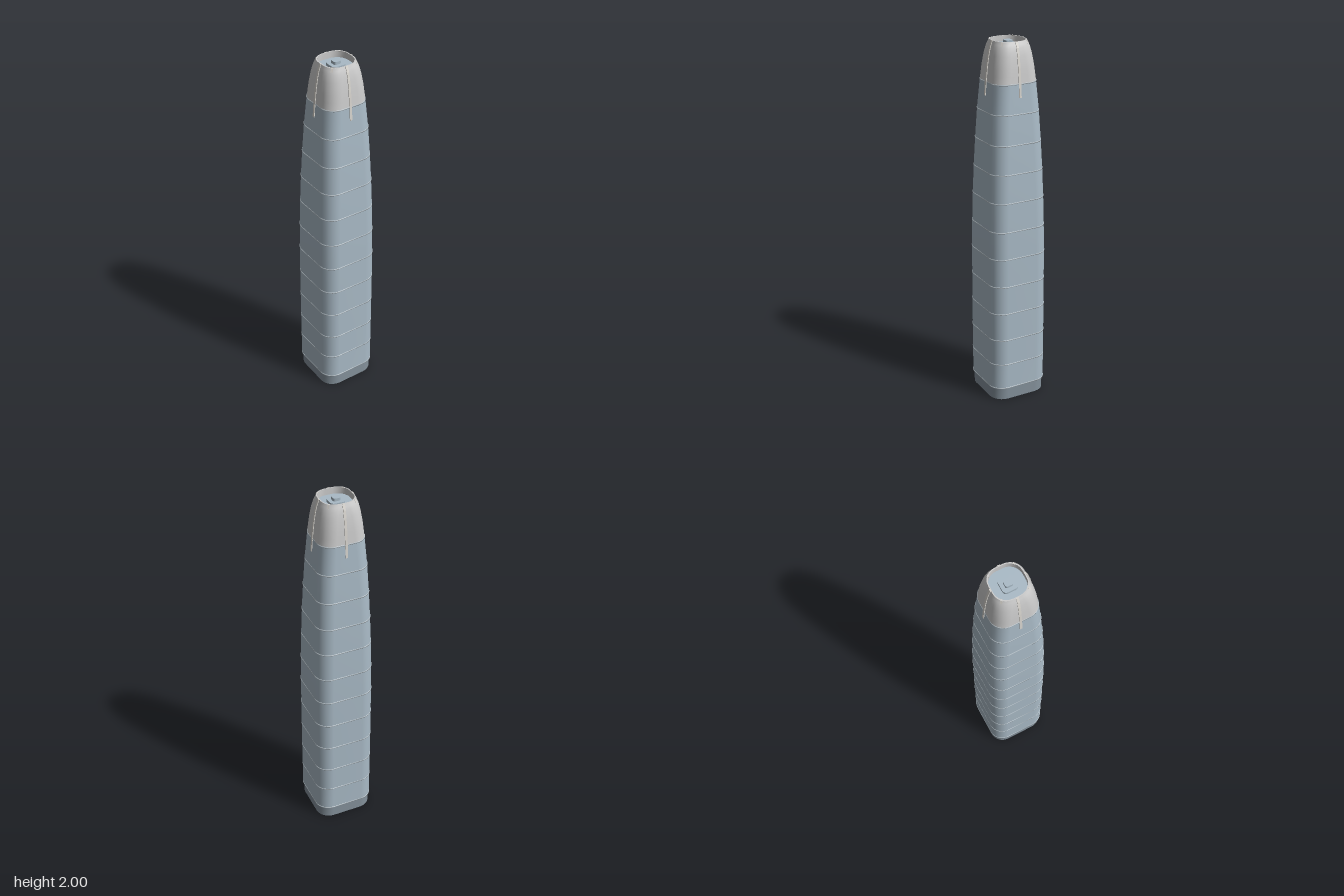
import * as THREE from 'three';

const mat = (color) => new THREE.MeshStandardMaterial({ color, side: THREE.DoubleSide });

// Half-width and corner radius of the rounded-square plan by height
const profile = [
  [0.07, 0.168, 0.08], [0.5, 0.168, 0.08], [0.85, 0.1665, 0.08], [1.0, 0.1645, 0.08],
  [1.165, 0.1605, 0.079], [1.32, 0.155, 0.078], [1.475, 0.148, 0.077], [1.635, 0.139, 0.076],
  [1.79, 0.127, 0.075], [1.87, 0.119, 0.074], [1.93, 0.11, 0.072], [1.97, 0.101, 0.07], [2.0, 0.09, 0.068],
];

function sectionAt(y) {
  let i = 1;
  while (i < profile.length - 1 && profile[i][0] < y) i++;
  const [y0, h0, r0] = profile[i - 1], [y1, h1, r1] = profile[i];
  const t = THREE.MathUtils.clamp((y - y0) / (y1 - y0), 0, 1);
  return [y, h0 + (h1 - h0) * t, r0 + (r1 - r0) * t];
}

// Rounded-square ring, running counter-clockwise seen from above
const SEG = 6;
function ring([y, h, r]) {
  const pts = [];
  for (let c = 0; c < 4; c++) {
    const mid = Math.PI / 4 + c * Math.PI / 2;
    const cx = Math.sign(Math.cos(mid)) * (h - r), cz = -Math.sign(Math.sin(mid)) * (h - r);
    for (let s = 0; s <= SEG; s++) {
      const a = (c + s / SEG) * Math.PI / 2;
      pts.push([cx + r * Math.cos(a), y, cz - r * Math.sin(a)]);
    }
  }
  return pts;
}

// Skin through a stack of [y, halfWidth, cornerRadius] sections
function loft(name, sections, material, capTop = false) {
  const rings = sections.map(ring), n = rings[0].length, index = [];
  const pos = rings.flat(2);
  for (let k = 0; k < rings.length - 1; k++) {
    for (let i = 0; i < n; i++) {
      const a = k * n + i, b = k * n + (i + 1) % n;
      index.push(a, b, b + n, a, b + n, a + n);
    }
  }
  if (capTop) {
    const base = pos.length / 3;
    pos.push(...rings.at(-1).flat(), 0, sections.at(-1)[0], 0);
    for (let i = 0; i < n; i++) index.push(base + i, base + (i + 1) % n, base + n);
  }
  const g = new THREE.BufferGeometry();
  g.setAttribute('position', new THREE.Float32BufferAttribute(pos, 3));
  g.setIndex(index);
  g.computeVertexNormals();
  const mesh = new THREE.Mesh(g, material);
  mesh.name = name;
  return mesh;
}

export function createModel() {
  const tower = new THREE.Group();
  tower.name = 'tower';
  const glass = mat(0xa9bac6), baseMat = mat(0x84919b), metal = mat(0xcccccc), trim = mat(0xb4bfc6);

  // Open plinth, slightly set back
  tower.add(loft('plinth', [[0, 0.162, 0.077], [0.075, 0.162, 0.077]], baseMat));

  // Glass shaft
  const heights = [0.07, 0.22, 0.37, 0.53, 0.69, 0.85, 1.005, 1.165, 1.32, 1.475, 1.635, 1.79];
  tower.add(loft('glassShaft', heights.map(sectionAt), glass));

  // Thin ledges between the storeys
  heights.forEach((y) => {
    const [, h, r] = sectionAt(y);
    const b = Math.max(y - 0.003, 0.07);
    tower.add(loft('storeyLedge', [
      [b, h - 0.003, r], [b, h + 0.0015, r], [b + 0.006, h + 0.0015, r], [b + 0.006, h - 0.003, r],
    ], trim));
  });

  // Crown shell, rim and inner wall
  tower.add(loft('crown', [1.79, 1.83, 1.87, 1.9, 1.93, 1.95, 1.97, 1.985, 2.0].map(sectionAt), metal));
  tower.add(loft('crownRim', [[2.0, 0.09, 0.068], [2.0, 0.085, 0.066]], metal));
  tower.add(loft('crownInnerWall', [[2.0, 0.085, 0.066], [1.965, 0.085, 0.066]], metal));

  // Sunken roof with a stepped cap
  tower.add(loft('roof', [[1.96, 0.085, 0.066], [1.965, 0.085, 0.066]], glass, true));
  tower.add(loft('roofStepLower', [[1.965, 0.04, 0.02], [1.98, 0.04, 0.02]], glass, true));
  tower.add(loft('roofStepUpper', [[1.98, 0.02, 0.01], [1.995, 0.02, 0.01]], glass, true));

  // Eight curved ribs around the crown
  const outline = [1.72, 1.79, 1.83, 1.87, 1.9, 1.93, 1.95, 1.97, 1.985, 2.0];
  const shape = new THREE.Shape();
  outline.forEach((y, i) => {
    const x = sectionAt(y)[1] + 0.004;
    i ? shape.lineTo(x, y) : shape.moveTo(x, y);
  });
  [...outline].reverse().forEach((y) => shape.lineTo(sectionAt(y)[1] - 0.005, y));
  const ribGeo = new THREE.ExtrudeGeometry(shape, { depth: 0.013, bevelEnabled: false });
  ribGeo.translate(0, 0, -0.0065);
  const ribMat = mat(0xd6d3cd);
  for (let i = 0; i < 8; i++) {
    const rib = new THREE.Mesh(ribGeo, ribMat);
    rib.name = 'crownRib';
    rib.rotation.y = i * Math.PI / 4;
    // Diagonal ribs stand a little further out to clear the corners
    if (i % 2) rib.scale.set(1.07, 1, 0.8);
    tower.add(rib);
  }
  return tower;
}
